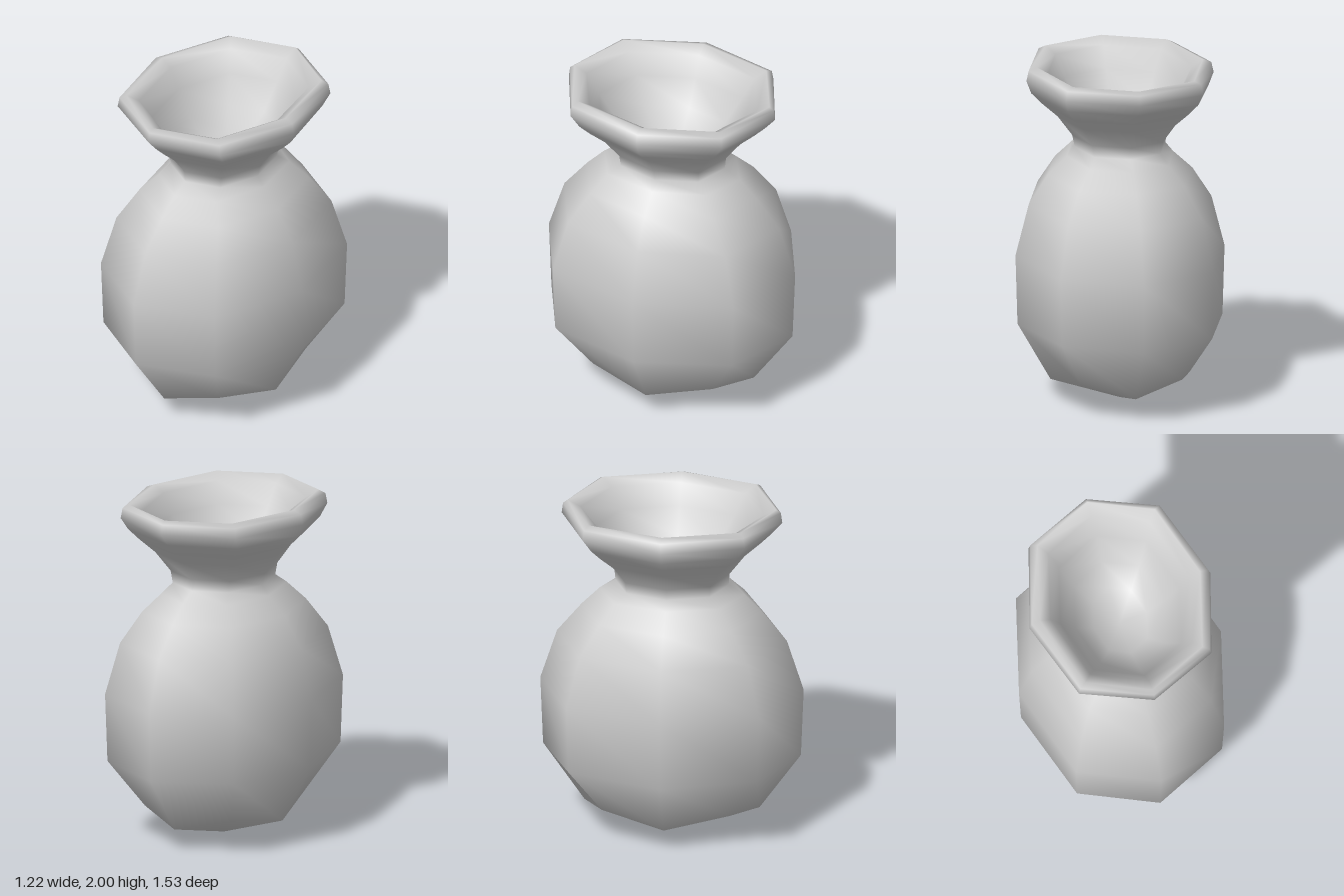
import * as THREE from 'three';
import { mergeVertices } from 'three/addons/utils/BufferGeometryUtils.js';

// Rings from the base, up the outside, over the lip and down into the bowl:
// [half width x, half depth z, height, lift of the diagonal corners]
const rings = [
  [0, 0, 0, 0],
  [0.407, 0.508, 0.13, 0.065],
  [0.6, 0.748, 0.47, 0.01],
  [0.612, 0.764, 0.88, 0],
  [0.535, 0.667, 1.18, 0],
  [0.423, 0.524, 1.355, 0],
  [0.31, 0.42, 1.46, 0],
  [0.265, 0.328, 1.515, 0],
  [0.28, 0.335, 1.585, 0],
  [0.365, 0.422, 1.7, 0],
  [0.455, 0.51, 1.78, 0],
  [0.52, 0.577, 1.847, 0],
  [0.548, 0.64, 1.92, 0],
  [0.535, 0.632, 1.98, 0],
  [0.485, 0.605, 2, 0],
  [0.42, 0.53, 1.96, 0],
  [0.36, 0.45, 1.84, 0],
  [0.27, 0.34, 1.69, 0],
  [0.16, 0.21, 1.59, 0],
  [0, 0, 1.55, 0],
];
const SIDES = 8;
const DIAGONAL = 0.732; // diagonal corners sit slightly outside the ellipse

export function createModel() {
  const group = new THREE.Group();
  group.name = 'vase';
  const clay = new THREE.MeshStandardMaterial({ color: 0xcccccc });
  clay.name = 'grey clay';

  // Eight-sided lathe, with each ring stretched into its own oval
  const lathe = new THREE.LatheGeometry(rings.map(([x, , y]) => new THREE.Vector2(x, y)), SIDES);
  const pos = lathe.attributes.position;
  for (let i = 0; i <= SIDES; i++) {
    const angle = (i * Math.PI * 2) / SIDES;
    const diagonal = i % 2 === 1;
    const reach = (v) => (diagonal ? Math.sign(v) * DIAGONAL : Math.round(v));
    rings.forEach(([rx, rz, y, lift], j) => {
      pos.setXYZ(i * rings.length + j,
        rx * reach(Math.sin(angle)), y + (diagonal ? lift : 0), rz * reach(Math.cos(angle)));
    });
  }

  // Weld the seam and poles so the shading is smooth all round
  lathe.deleteAttribute('normal');
  lathe.deleteAttribute('uv');
  const geometry = mergeVertices(lathe, 1e-4);
  geometry.computeVertexNormals();

  const body = new THREE.Mesh(geometry, clay);
  body.name = 'vaseBody';
  group.add(body);
  return group;
}
